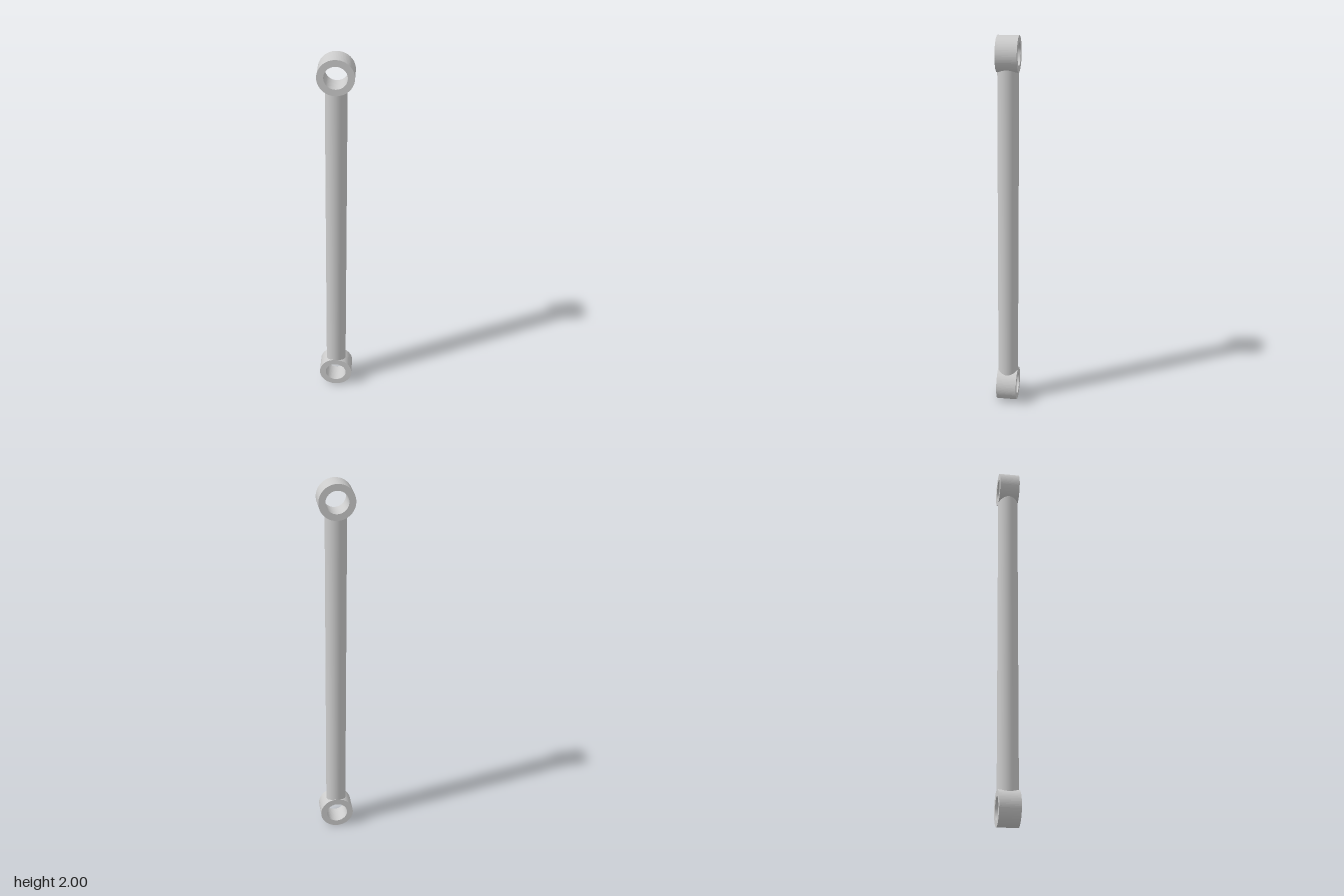
import * as THREE from 'three';

const RING_RADIUS = 0.09, HOLE_RADIUS = 0.057, HALF_DEPTH = 0.054;

export function createModel() {
  const group = new THREE.Group();
  const ringMaterial = new THREE.MeshStandardMaterial({ color: 0xcccccc, flatShading: true });
  const rodMaterial = new THREE.MeshStandardMaterial({ color: 0xcccccc });

  // Ring with a through hole along z
  const shape = new THREE.Shape().absarc(0, 0, RING_RADIUS, 0, Math.PI * 2, false);
  shape.holes.push(new THREE.Path().absarc(0, 0, HOLE_RADIUS, 0, Math.PI * 2, true));
  const ringGeometry = new THREE.ExtrudeGeometry(shape, {
    depth: HALF_DEPTH * 2, bevelEnabled: false, curveSegments: 36,
  });
  ringGeometry.translate(0, 0, -HALF_DEPTH);

  // One eye at each end
  for (const [name, y] of [['lowerEye', RING_RADIUS], ['upperEye', 2 - RING_RADIUS]]) {
    const eye = new THREE.Mesh(ringGeometry, ringMaterial);
    eye.name = name;
    eye.position.y = y;
    group.add(eye);
  }

  // Round rod whose ends are buried in the ring walls, clear of the holes
  const rod = new THREE.Mesh(
    new THREE.CylinderGeometry(HALF_DEPTH, HALF_DEPTH, 1.684, 36), rodMaterial);
  rod.name = 'rod';
  rod.position.y = 1;
  group.add(rod);

  return group;
}
